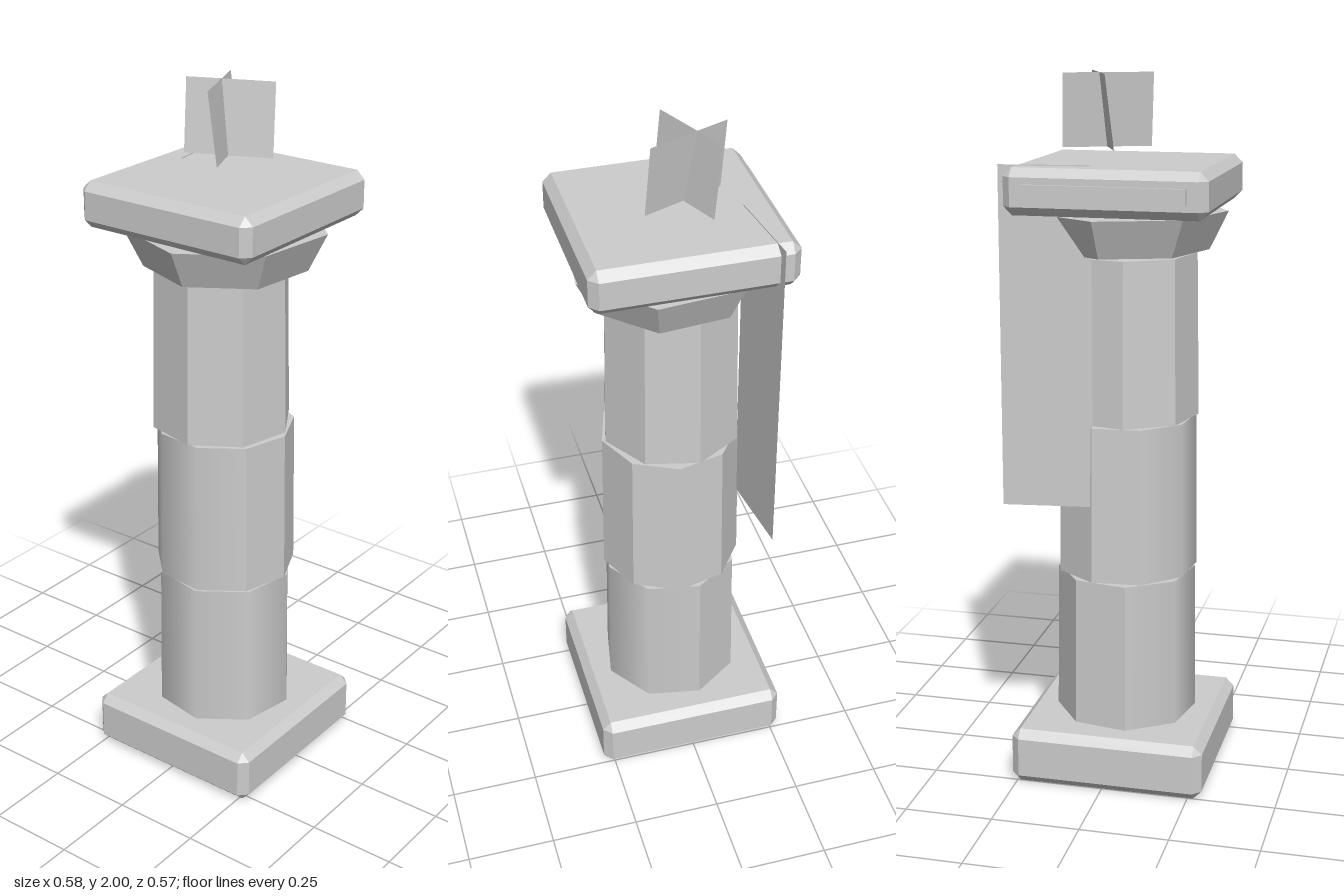
import * as THREE from 'three';
import { ConvexGeometry } from 'three/addons/geometries/ConvexGeometry.js';

const CX = -0.0125, CZ = 0.005; // axis of the column

export function createModel() {
  const model = new THREE.Group();
  model.name = 'ruinedColumn';

  const stone = new THREE.MeshStandardMaterial({ color: 0xcccccc, side: THREE.DoubleSide });
  stone.name = 'pale stone';

  const add = (name, geometry, x = 0, y = 0, z = 0, parent = model) => {
    const mesh = new THREE.Mesh(geometry, stone);
    mesh.name = name;
    mesh.position.set(x, y, z);
    parent.add(mesh);
    return mesh;
  };

  // Square slab with every edge chamfered
  const slab = (name, y0, y1) => {
    const half = [0.2775, (y1 - y0) / 2, 0.277], c = 0.024, points = [];
    for (const sx of [-1, 1]) for (const sy of [-1, 1]) for (const sz of [-1, 1])
      for (let axis = 0; axis < 3; axis++) {
        const p = half.map((h, i) => (i === axis ? h : h - c));
        points.push(new THREE.Vector3(sx * p[0], sy * p[1], sz * p[2]));
      }
    add(name, new ConvexGeometry(points), CX, (y0 + y1) / 2, CZ);
  };
  slab('base', 0, 0.16);
  slab('topSlab', 1.635, 1.762);

  // Faceted drum; each run is [first side, number of sides, smooth or flat]
  const drum = (name, sides, phase, r0, r1, y0, y1, runs, x = CX, z = CZ) => {
    const group = new THREE.Group();
    group.name = name;
    const step = (Math.PI * 2) / sides;
    for (const [first, count, smooth] of runs) {
      let g = new THREE.CylinderGeometry(r1, r0, y1 - y0, count, 1, false,
        THREE.MathUtils.degToRad(phase) + first * step, count * step);
      if (!smooth) {
        g = g.toNonIndexed();
        g.computeVertexNormals();
      }
      add(smooth ? 'wornFace' : 'cutFace', g, x, (y0 + y1) / 2, z, group);
    }
    model.add(group);
  };
  drum('lowerDrum', 8, 12, 0.203, 0.198, 0.16, 0.592, [[4, 6, true], [2, 2, false]]);
  drum('middleDrum', 9, 4, 0.203, 0.198, 0.6, 1.046, [[5, 3, true], [8, 6, false]]);
  drum('upperDrum', 8, 9, 0.2, 0.192, 1.052, 1.512, [[0, 8, false]], -0.018, -0.002);
  drum('capital', 7, 19, 0.228, 0.28, 1.52, 1.627, [[0, 7, false]], CX, 0.012);

  // Narrow plaque on the back of the top slab
  add('plaque', new THREE.BoxGeometry(0.446, 0.042, 0.028), CX, 1.699, -0.27);

  // Thin four-cornered sheet: bottom edge a-b, top edge c-d
  const sheet = (name, a, b, c, d) => {
    const g = new THREE.BufferGeometry();
    g.setAttribute('position', new THREE.Float32BufferAttribute([a, b, c, d].flat(), 3));
    g.setIndex([0, 1, 2, 0, 2, 3]);
    g.computeVertexNormals();
    add(name, g);
  };

  // Hanging sheet behind the shaft
  sheet('hangingSheet', [0.04, 0.82, -0.183], [0.29, 0.82, -0.214],
    [0.29, 1.765, -0.214], [0.04, 1.765, -0.183]);

  // Crossed leaning sheets above the slab
  sheet('crossSheetA', [-0.077, 1.8, 0.027], [0.15, 1.8, -0.07],
    [0.142, 2, -0.092], [-0.087, 2, 0.005]);
  sheet('crossSheetB', [0.084, 1.8, 0.093], [-0.01, 1.8, -0.135],
    [0.013, 2, -0.143], [0.107, 2, 0.083]);

  return model;
}
